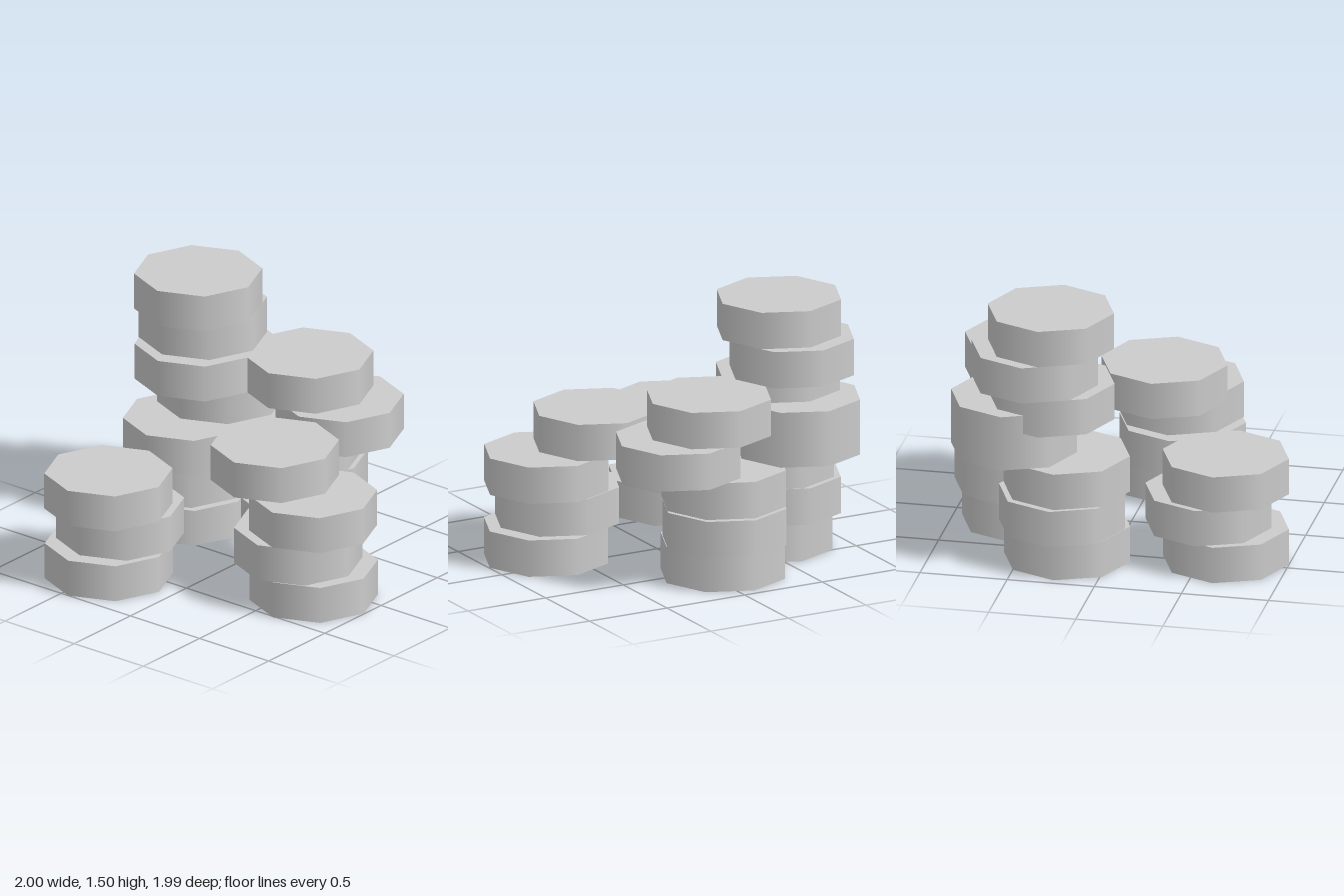
import * as THREE from 'three';

const RADIUS = 0.362;
const LAYER = 0.2136;

// Each disc: [x, z, layer index, optional height in layers]
const stacks = {
  leftBackStack: [
    [-0.638, -0.45, 0], [-0.538, -0.45, 1], [-0.638, -0.453, 2],
  ],
  frontStack: [
    [-0.148, 0.633, 0], [-0.178, 0.545, 1], [-0.15, 0.63, 2], [-0.12, 0.33, 3],
  ],
  rightStack: [
    [0.59, -0.09, 0], [0.636, -0.075, 1], [0.602, -0.09, 2], [0.607, 0.207, 3], [0.592, 0, 4],
  ],
  tallBackStack: [
    [0.243, -0.593, 0], [0.263, -0.634, 1], [0.243, -0.6, 2],
    [0.545, -0.6, 3, 1.51], // thicker disc bridging to the next layer
    [0.333, -0.59, 4], [0.42, -0.63, 5], [0.335, -0.595, 6],
  ],
};

export function createModel() {
  const model = new THREE.Group();
  model.name = 'discStacks';
  const stone = new THREE.MeshStandardMaterial({ color: 0xcccccc });
  stone.name = 'light grey';

  for (const [name, discs] of Object.entries(stacks)) {
    const stack = new THREE.Group();
    stack.name = name;
    for (const [x, z, layer, thickness = 1] of discs) {
      // Eight-sided disc with smooth side normals
      const height = LAYER * thickness;
      const disc = new THREE.Mesh(new THREE.CylinderGeometry(RADIUS, RADIUS, height, 8), stone);
      disc.name = 'disc';
      disc.position.set(x, layer * LAYER + height / 2, z);
      stack.add(disc);
    }
    model.add(stack);
  }
  return model;
}
